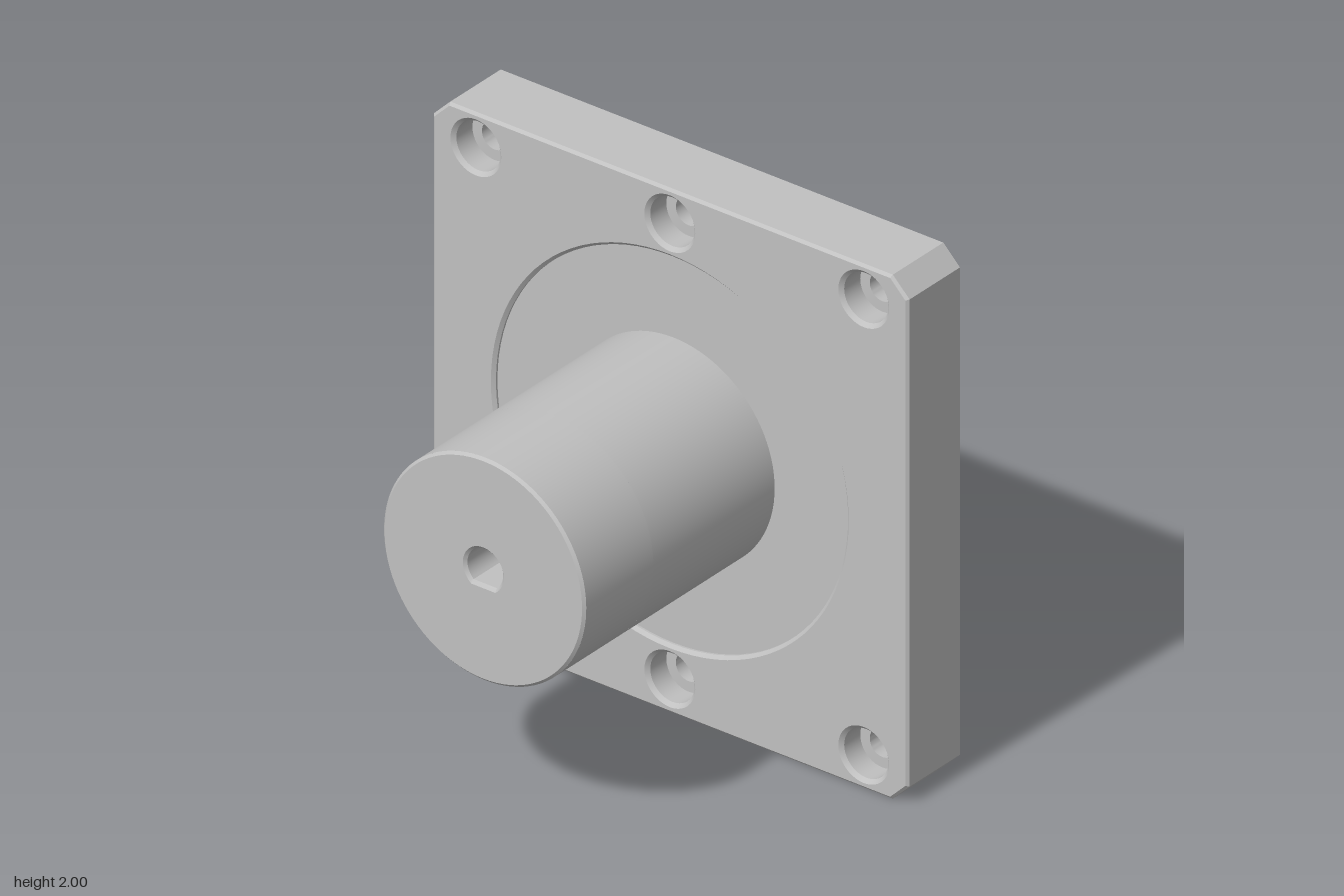
import * as THREE from 'three';
import { toCreasedNormals } from 'three/addons/utils/BufferGeometryUtils.js';

const CY = 1;                                   // height of the main axis
const BACK = -0.64, FACE = -0.36, RECESS = -0.38, END = 0.64;
const R = 0.425;                                // boss radius
const SCREW_Z = 0.45, SCREW_R = 0.1, HALF = 0.18; // radial hole and the patch around it

// Skin a series of equally long point loops; edges sharper than 0.5 rad stay crisp.
function loft(loops, closed = true) {
  const n = loops[0].length, index = [];
  const geo = new THREE.BufferGeometry().setFromPoints(loops.flat());
  for (let k = 0; k < loops.length - 1; k++) {
    for (let i = 0; i < (closed ? n : n - 1); i++) {
      const j = (i + 1) % n, a = k * n + i, b = k * n + j;
      index.push(a, b, b + n, a, b + n, a + n);
    }
  }
  geo.setIndex(index);
  return toCreasedNormals(geo, 0.5);
}

const at = (pts, z) => pts.map((p) => new THREE.Vector3(p.x, p.y, z));

function arc(x, y, r, n, from = 0, to = Math.PI * 2, open = false) {
  return Array.from({ length: n }, (_, i) => {
    const t = from + (to - from) * i / (open ? n - 1 : n);
    return new THREE.Vector2(x + r * Math.cos(t), y + r * Math.sin(t));
  });
}
const circle = (r, n = 96) => arc(0, CY, r, n);

// Square with cut corners
function plateOutline(inset) {
  const h = 1 - inset, c = 0.93 - inset * 0.4;
  return [[h, -c], [h, c], [c, h], [-c, h], [-h, c], [-h, -c], [-c, -h], [c, -h]]
    .map(([x, y]) => new THREE.Vector2(x, CY + y));
}

// Circle with a flat along the bottom
function dOutline(r, flat) {
  const a = Math.acos(flat / r);
  return arc(0, CY, r, 40, -Math.PI / 2 + a, Math.PI * 1.5 - a, true);
}

function flatFace(outline, holes, z) {
  const shape = new THREE.Shape(outline);
  shape.holes = holes.map((h) => new THREE.Path(h));
  return new THREE.ShapeGeometry(shape).translate(0, 0, z);
}

export function createModel() {
  const model = new THREE.Group();
  const steel = new THREE.MeshStandardMaterial({ color: 0xc0c0c0 });
  steel.name = 'grey steel';
  const add = (parent, name, geo) => {
    const mesh = new THREE.Mesh(geo, steel);
    mesh.name = name;
    parent.add(mesh);
  };

  // Mounting plate
  const plate = new THREE.Group();
  plate.name = 'mountingPlate';
  model.add(plate);
  const centres = [-0.815, 0, 0.815].flatMap((x) => [[x, 0.13], [x, 1.87]]);
  const bores = (r) => centres.map(([x, y]) => arc(x, y, r, 40));

  add(plate, 'plateRim', loft([
    at(plateOutline(0), BACK), at(plateOutline(0), FACE - 0.01), at(plateOutline(0.01), FACE)]));
  add(plate, 'plateFront', flatFace(plateOutline(0.01), [circle(0.752), ...bores(0.107)], FACE));
  add(plate, 'plateBack',
    flatFace(plateOutline(0), bores(0.053), 0).rotateY(Math.PI).translate(0, 0, BACK));

  // Counterbored bolt holes: radius, z
  const boltProfile = [[0.107, FACE], [0.093, FACE - 0.014], [0.093, -0.46], [0.053, -0.46], [0.053, BACK]];
  for (const [x, y] of centres) {
    add(plate, 'boltHole', loft(boltProfile.map(([r, z]) => at(arc(x, y, r, 40), z))));
  }

  // Shallow round recess around the boss
  add(plate, 'recess', loft([
    at(circle(0.752), FACE), at(circle(0.74), FACE - 0.012), at(circle(0.74), RECESS), at(circle(R), RECESS)]));

  // Cylindrical boss
  const boss = new THREE.Group();
  boss.name = 'boss';
  model.add(boss);
  const zEdge = END - 0.01, zPatch = SCREW_Z - HALF;
  add(boss, 'bossRoot', loft([at(circle(R), RECESS), at(circle(R), zPatch)]));
  const gap = Math.asin(HALF / R);
  const wall = arc(0, CY, R, 96, -Math.PI / 2 + gap, Math.PI * 1.5 - gap, true);
  add(boss, 'bossWall', loft([at(wall, zPatch), at(wall, zEdge)], false));
  add(boss, 'bossChamfer', loft([at(circle(R), zEdge), at(circle(R - 0.01), END)]));
  add(boss, 'bossEnd', flatFace(circle(R - 0.01), [dOutline(0.086, 0.07)], END));

  // Wall patch blending a square into the radial hole, then the hole itself
  const N = 64;
  const ring = (mix, r, y) => Array.from({ length: N }, (_, i) => {
    const t = i / N * Math.PI * 2, c = Math.cos(t), s = Math.sin(t);
    const square = HALF / Math.max(Math.abs(c), Math.abs(s));
    const d = THREE.MathUtils.lerp(square, r, mix), x = d * c;
    return new THREE.Vector3(x, y ?? CY - Math.sqrt(R * R - x * x), SCREW_Z + d * s);
  });
  const skin = [0, 0.25, 0.5, 0.75, 1].map((m) => ring(m, SCREW_R));
  add(boss, 'setScrewHole', loft([...skin, ring(1, SCREW_R, 0.935), ring(1, 0, 0.935)]));

  // Blind D-shaped shaft bore
  const outer = dOutline(0.086, 0.07), inner = dOutline(0.075, 0.057), floor = 0.24;
  add(boss, 'shaftBore', loft([at(outer, END), at(inner, END - 0.011), at(inner, floor)]));
  add(boss, 'shaftBoreFloor', flatFace(inner, [], floor));

  return model;
}
